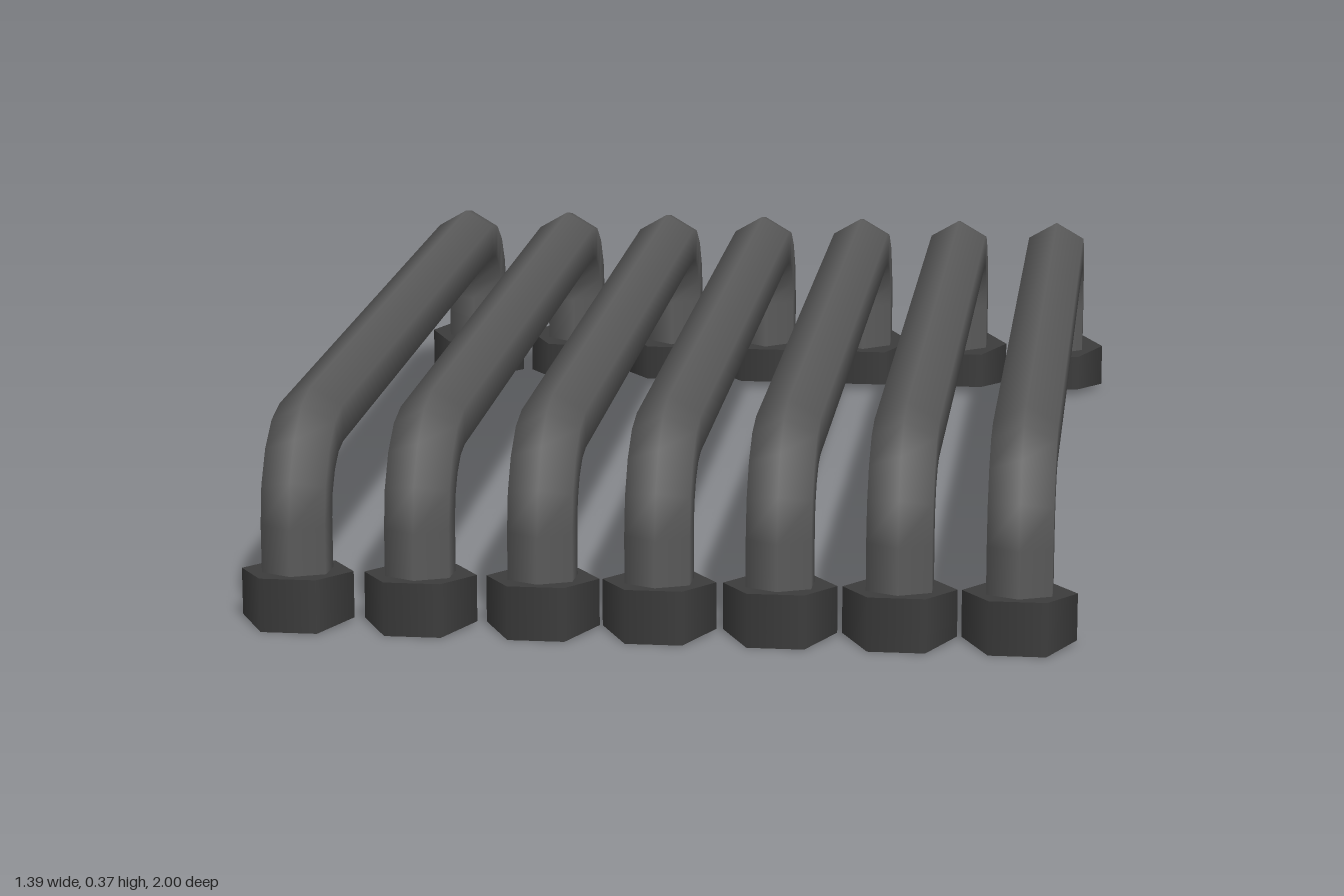
import * as THREE from 'three';

const pipeMat = new THREE.MeshStandardMaterial({ color: 0x5c5c5c });
const nutMat = new THREE.MeshStandardMaterial({ color: 0x3c3c3c });

const LEG_Z = 0.917, TOP_Y = 0.306, BEND = 0.136, STEPS = 4;

// Path of one pipe: up the front leg, round the bend, back and down again
class PipePath extends THREE.Curve {
  constructor() {
    super();
    this.stations = [{ y: 0.03, z: LEG_Z, a: 0 }];
    for (const end of [1, -1]) {
      for (let i = 0; i <= STEPS; i++) {
        const a = ((end > 0 ? 0 : 1) + i / STEPS) * Math.PI / 2;
        this.stations.push({
          y: TOP_Y - BEND + BEND * Math.sin(a),
          z: end * (LEG_Z - BEND) + BEND * Math.cos(a),
          a,
        });
      }
    }
    this.stations.push({ y: 0.03, z: -LEG_Z, a: Math.PI });
  }
  station(t) {
    return this.stations[Math.round(t * (this.stations.length - 1))];
  }
  getPointAt(t, target = new THREE.Vector3()) {
    const s = this.station(t);
    return target.set(0, s.y, s.z);
  }
  getTangentAt(t, target = new THREE.Vector3()) {
    const { a } = this.station(t);
    return target.set(0, Math.cos(a), -Math.sin(a));
  }
}

// Six-sided nut, slightly taller on its outer side
function nutGeometry() {
  const geo = new THREE.CylinderGeometry(0.095, 0.095, 0.08, 6);
  geo.rotateY(Math.PI / 6);
  const p = geo.attributes.position;
  for (let i = 0; i < p.count; i++) {
    p.setY(i, 0.046 + p.getY(i) * (1 + 0.15 * p.getZ(i) / 0.082));
  }
  return geo;
}

export function createModel() {
  const model = new THREE.Group();
  model.name = 'pipeRack';

  const path = new PipePath();
  const pipeGeo = new THREE.TubeGeometry(path, path.stations.length - 1, 0.0625, 6, false);
  const nutGeo = nutGeometry();

  // Seven pipes side by side, a nut under each leg
  [-0.604, -0.396, -0.19, 0.005, 0.206, 0.404, 0.601].forEach((x, i) => {
    const unit = new THREE.Group();
    unit.name = `pipeUnit${i + 1}`;
    unit.position.x = x;

    const pipe = new THREE.Mesh(pipeGeo, pipeMat);
    pipe.name = 'pipe';
    unit.add(pipe);

    for (const end of [1, -1]) {
      const nut = new THREE.Mesh(nutGeo, nutMat);
      nut.name = end > 0 ? 'frontNut' : 'backNut';
      nut.position.z = end * LEG_Z;
      if (end < 0) nut.rotation.y = Math.PI;
      unit.add(nut);
    }
    model.add(unit);
  });
  return model;
}
